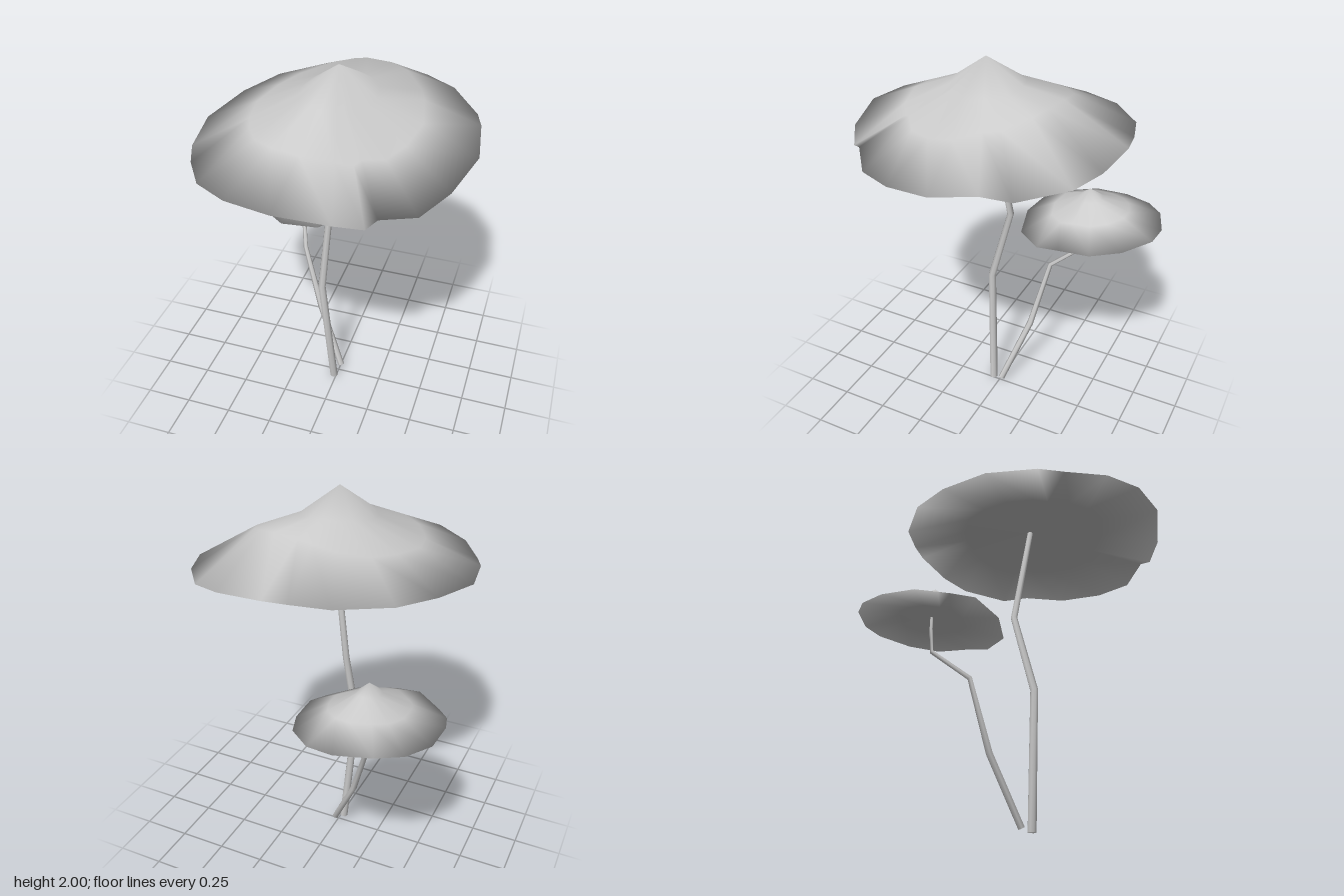
import * as THREE from 'three';

const grey = new THREE.MeshStandardMaterial({ color: 0xcccccc, side: THREE.DoubleSide });

function buildMesh(name, positions, indices) {
  const geo = new THREE.BufferGeometry();
  geo.setAttribute('position', new THREE.Float32BufferAttribute(positions, 3));
  geo.setIndex(indices);
  geo.computeVertexNormals();
  const mesh = new THREE.Mesh(geo, grey);
  mesh.name = name;
  return mesh;
}

// Closed cap: apex, top rings, irregular rim (counterclockwise from above),
// then a flatter underside running in to its centre. Normals are smooth over the rim.
// Each top ring maps an angle to [fraction of radius, fraction of drop].
function makeCap(name, apex, underCentre, underT, rim, topRings) {
  const n = rim.length;
  const top = topRings.map(ring => rim.map(([x, y, z]) => {
    const dx = x - apex[0], dz = z - apex[2];
    const [t, drop] = ring(Math.atan2(dz, dx));
    return [apex[0] + dx * t, apex[1] + (y - apex[1]) * drop, apex[2] + dz * t];
  }));
  const under = rim.map(p => p.map((v, k) => underCentre[k] + (v - underCentre[k]) * underT));
  const loops = [...top, rim, under];
  const pos = [apex, ...loops.flat(), underCentre].flat();
  const idx = [], lastLoop = (loops.length - 1) * n, centre = 1 + loops.length * n;
  for (let i = 0; i < n; i++) {
    const a = 1 + i, b = 1 + ((i + 1) % n);
    idx.push(0, a, b);
    for (let s = 0; s < lastLoop; s += n) {
      idx.push(a + s, a + s + n, b + s + n, a + s, b + s + n, b + s);
    }
    idx.push(centre, b + lastLoop, a + lastLoop);
  }
  return buildMesh(name, pos, idx);
}

// Bent, tapering stem: one ring per path point, square to the path, with closed ends.
function makeStem(name, path, radii, sides) {
  const pts = path.map(p => new THREE.Vector3(...p));
  const pos = [], idx = [], up = new THREE.Vector3(0, 1, 0);
  pts.forEach((p, r) => {
    const before = pts[Math.max(r - 1, 0)], after = pts[Math.min(r + 1, pts.length - 1)];
    const q = new THREE.Quaternion().setFromUnitVectors(up, after.clone().sub(before).normalize());
    for (let i = 0; i < sides; i++) {
      const a = (i / sides) * Math.PI * 2;
      const v = new THREE.Vector3(Math.sin(a), 0, Math.cos(a)).multiplyScalar(radii[r]);
      v.applyQuaternion(q).add(p);
      pos.push(v.x, Math.max(v.y, 0), v.z);
      if (r > 0) {
        const j = (i + 1) % sides, lo = (r - 1) * sides, hi = r * sides;
        idx.push(lo + i, lo + j, hi + j, lo + i, hi + j, hi + i);
      }
    }
  });
  const last = (pts.length - 1) * sides;
  for (let i = 1; i < sides - 1; i++) idx.push(0, i + 1, i, last, last + i, last + i + 1);
  return buildMesh(name, pos, idx);
}

export function createModel() {
  const model = new THREE.Group();
  model.name = 'mushrooms';

  // Large mushroom
  const large = new THREE.Group();
  large.name = 'largeMushroom';
  const largeRim = [
    [0.685, 1.6, 0], [0.65, 1.645, -0.23], [0.61, 1.63, -0.37], [0.45, 1.66, -0.57],
    [0.29, 1.68, -0.64], [0.05, 1.7, -0.67], [-0.07, 1.7, -0.655], [-0.25, 1.69, -0.605],
    [-0.47, 1.67, -0.43], [-0.59, 1.65, -0.22], [-0.67, 1.62, 0.05], [-0.63, 1.605, 0.31],
    [-0.58, 1.59, 0.43], [-0.46, 1.605, 0.61], [-0.28, 1.625, 0.725], [-0.05, 1.627, 0.77],
    [0.2, 1.59, 0.715], [0.32, 1.545, 0.64], [0.36, 1.565, 0.58], [0.51, 1.53, 0.46],
    [0.61, 1.55, 0.26],
  ];
  // The middle ring is raised into a shoulder on the back left side
  const shoulder = angle => {
    const w = Math.max(0, Math.cos(angle + 1.2)) ** 3;
    return [0.6 - 0.05 * w, 0.655 - 0.24 * w];
  };
  large.add(
    makeCap('largeCap', [0.02, 2, 0.06], [0.02, 1.7, 0.03], 0.55, largeRim,
      [() => [0.27, 0.37], shoulder]),
    makeStem('largeStem',
      [[-0.015, 0, 0.045], [-0.07, 0.7, 0.08], [-0.06, 1.13, -0.035], [0.015, 1.6, 0.015], [0.03, 1.73, 0.03]],
      [0.023, 0.021, 0.018, 0.016, 0.015], 8),
  );

  // Small mushroom
  const small = new THREE.Group();
  small.name = 'smallMushroom';
  const smallRim = [
    [0, 1.02, -0.33], [-0.01, 1.03, -0.5], [-0.07, 1.06, -0.65], [-0.2, 1.085, -0.765],
    [-0.33, 1.085, -0.775], [-0.5, 1.08, -0.715], [-0.61, 1.06, -0.62], [-0.685, 1.04, -0.47],
    [-0.69, 1.03, -0.29], [-0.66, 1.01, -0.18], [-0.61, 1.02, -0.14], [-0.48, 1.05, -0.07],
    [-0.33, 1.0, -0.01], [-0.14, 0.98, -0.06], [-0.03, 0.985, -0.2],
  ];
  small.add(
    makeCap('smallCap', [-0.33, 1.23, -0.37], [-0.335, 1.065, -0.38], 0.45, smallRim,
      [() => [0.18, 0.27], () => [0.55, 0.6]]),
    makeStem('smallStem',
      [[0.01, 0.03, -0.018], [-0.15, 0.37, -0.125], [-0.26, 0.73, -0.19], [-0.335, 0.87, -0.37],
        [-0.335, 1.0, -0.38], [-0.335, 1.09, -0.38]],
      [0.018, 0.018, 0.013, 0.011, 0.009, 0.008], 6),
  );

  model.add(large, small);
  return model;
}
